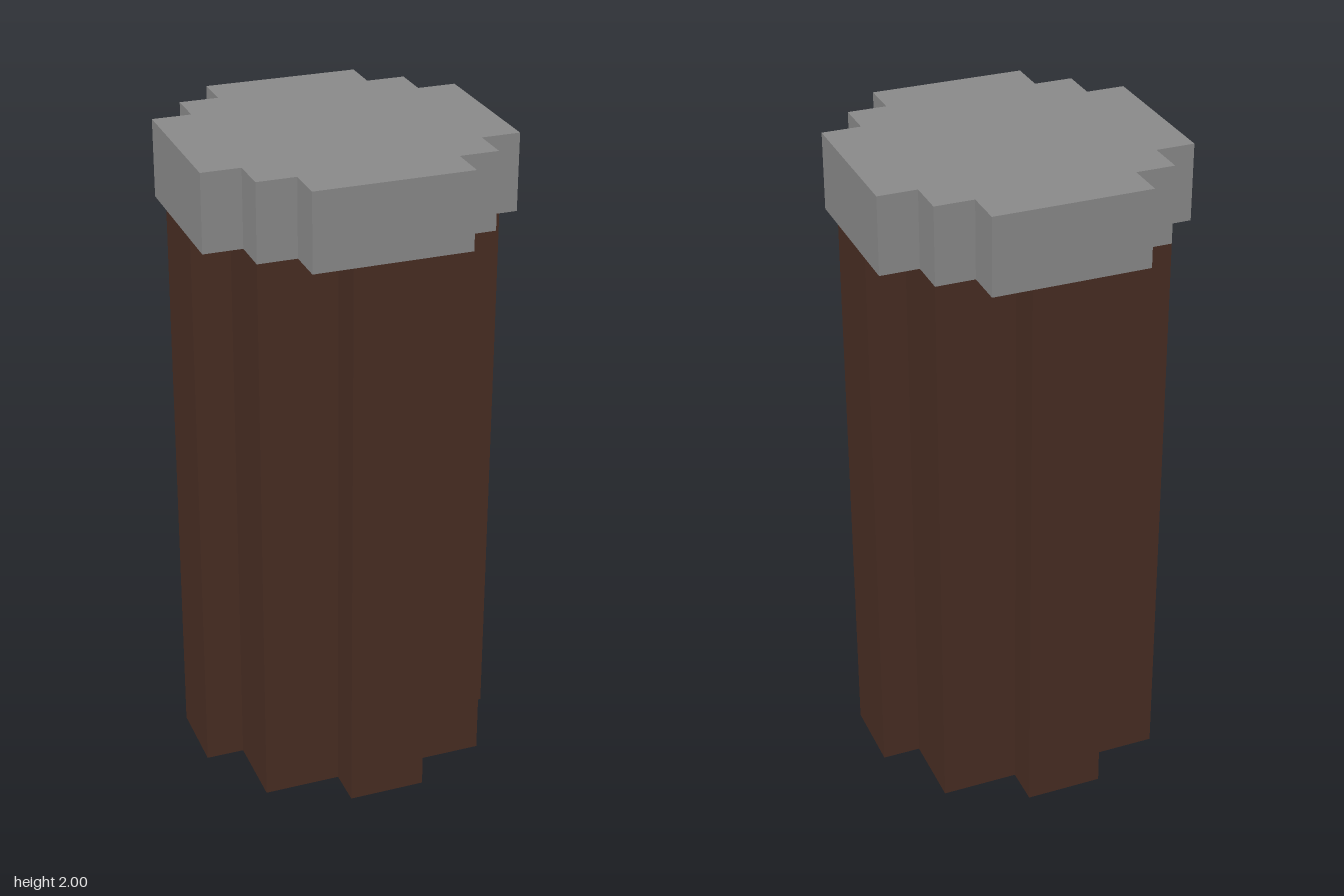
import * as THREE from 'three';

const U = 2 / 17; // one block unit: the model is 17 units tall

// Mirror one quarter outline into all four quadrants and extrude it upwards
function steppedPrism(quarter, bottom, height) {
  const points = [];
  const reversed = [...quarter].reverse();
  for (const [sx, sy] of [[1, 1], [-1, 1], [-1, -1], [1, -1]]) {
    const order = sx * sy > 0 ? quarter : reversed;
    for (const [x, y] of order) points.push(new THREE.Vector2(x * sx * U, y * sy * U));
  }
  const geometry = new THREE.ExtrudeGeometry(new THREE.Shape(points), {
    depth: height * U,
    bevelEnabled: false,
  });
  geometry.rotateX(-Math.PI / 2);
  geometry.translate(0, bottom * U, 0);
  return geometry;
}

export function createModel() {
  const group = new THREE.Group();
  group.name = 'post';

  const brown = new THREE.MeshStandardMaterial({ color: 0x472c22 });
  brown.name = 'dark brown';
  const grey = new THREE.MeshStandardMaterial({ color: 0x888888 });
  grey.name = 'grey';

  // Square shaft with a narrow rib on each side
  const shaft = new THREE.Mesh(
    steppedPrism([[4, 1], [3, 1], [3, 3], [1, 3], [1, 4]], 0, 15), brown);
  shaft.name = 'shaft';

  // Wider stepped round cap
  const cap = new THREE.Mesh(
    steppedPrism([[4, 2], [3, 2], [3, 3], [2, 3], [2, 4]], 15, 2), grey);
  cap.name = 'cap';

  group.add(shaft, cap);
  return group;
}
